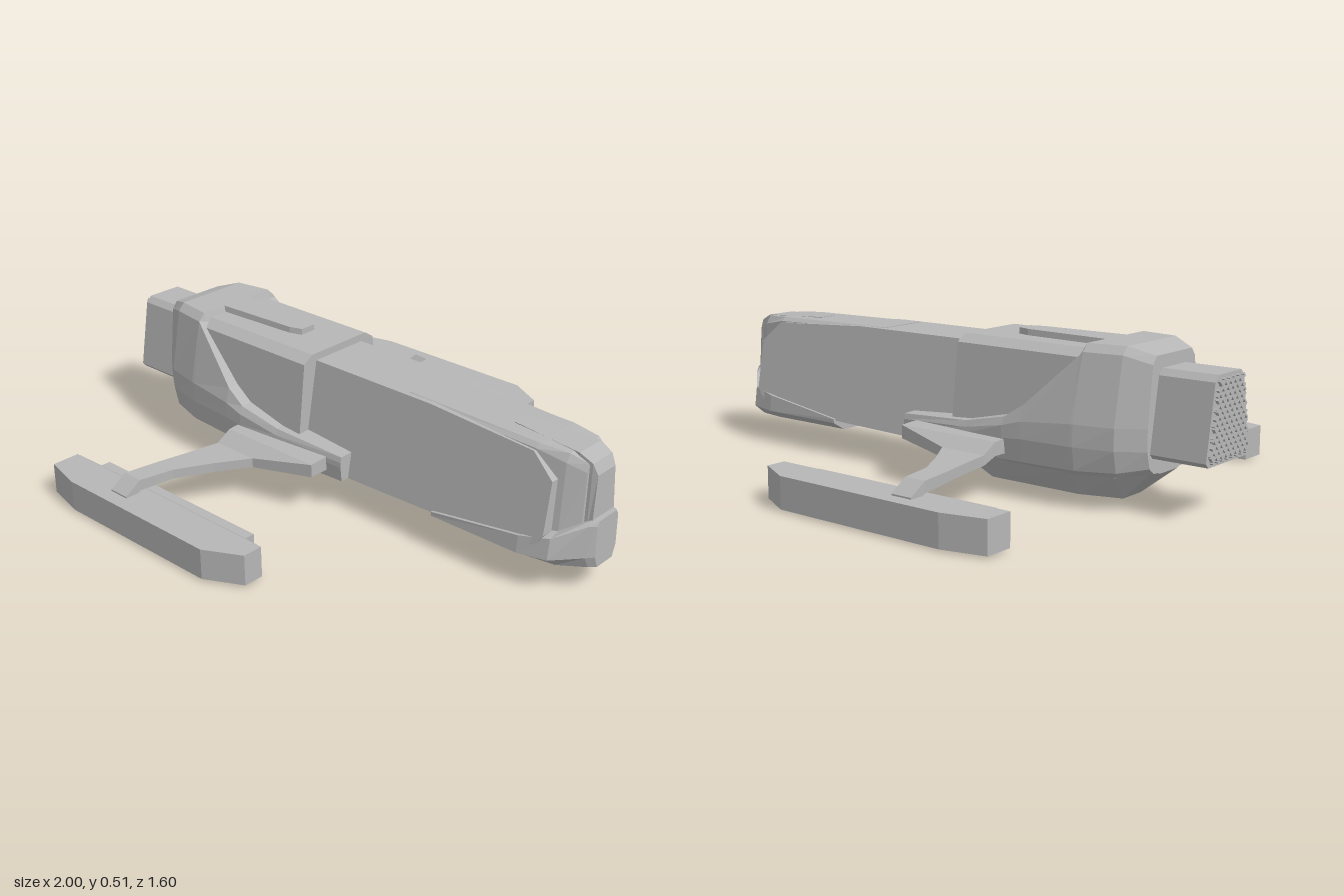
import * as THREE from 'three';

const hullGrey = new THREE.MeshStandardMaterial({ color: 0xb6b6b6, flatShading: true });
hullGrey.name = 'hullGrey';

// Skin a closed solid through rings of [x, y, z] points, faces turned outward
function loft(name, rings) {
  const tris = [];
  const n = rings[0].length;
  for (let i = 0; i < rings.length - 1; i++) {
    for (let j = 0; j < n; j++) {
      const k = (j + 1) % n;
      const a = rings[i][j], b = rings[i][k], c = rings[i + 1][k], d = rings[i + 1][j];
      tris.push([a, b, c], [a, c, d]);
    }
  }
  const first = rings[0], last = rings[rings.length - 1];
  for (let j = 1; j < n - 1; j++) {
    tris.push([first[0], first[j + 1], first[j]], [last[0], last[j], last[j + 1]]);
  }
  let volume = 0;
  for (const [a, b, c] of tris) {
    volume += a[0] * (b[1] * c[2] - b[2] * c[1]) + a[1] * (b[2] * c[0] - b[0] * c[2]) + a[2] * (b[0] * c[1] - b[1] * c[0]);
  }
  if (volume < 0) tris.forEach((t) => t.reverse());
  const geometry = new THREE.BufferGeometry();
  geometry.setAttribute('position', new THREE.Float32BufferAttribute(tris.flat(2), 3));
  geometry.computeVertexNormals();
  return part(name, geometry);
}

function part(name, geometry) {
  const mesh = new THREE.Mesh(geometry, hullGrey);
  mesh.name = name;
  return mesh;
}

// Symmetric section across the hull: half profile of [z, y], bottom to top
const section = (x, half) => [
  ...half.map(([z, y]) => [x, y, z]),
  ...half.slice().reverse().map(([z, y]) => [x, y, -z]),
];
const hullLoft = (name, list) => loft(name, list.map(([x, ...half]) => section(x, half)));

// Forward fuselage: side outline drawn across and narrowed toward the roof
function fuselage() {
  const outline = [[-0.3, 0.12], [0.15, 0.12], [0.78, 0.135], [0.86, 0.17], [0.88, 0.2],
    [0.88, 0.37], [0.8, 0.44], [0.4, 0.463], [-0.3, 0.465]];
  const shape = new THREE.Shape(outline.map(([x, y]) => new THREE.Vector2(x, y)));
  const geometry = new THREE.ExtrudeGeometry(shape, { depth: 2, bevelEnabled: false });
  const p = geometry.attributes.position;
  for (let i = 0; i < p.count; i++) {
    p.setZ(i, (p.getZ(i) - 1) * (0.11 + (0.465 - p.getY(i)) * 0.185));
  }
  geometry.computeVertexNormals();
  return part('fuselageSides', geometry);
}

// Crossed bars over the tail opening, clipped to its tapered outline
function tailGrille() {
  const grille = new THREE.Group();
  grille.name = 'tailGrille';
  const inside = (z, y) => y > 0.185 && y < 0.435 && Math.abs(z) < 0.12 - (y - 0.175) * 0.18;
  for (const dir of [-1, 1]) {
    for (let i = -8; i <= 8; i++) {
      const hits = [];
      for (let t = -0.3; t <= 0.3; t += 0.004) {
        const z = t * 0.64 + i * 0.028, y = 0.31 + dir * t * 0.77;
        if (inside(z, y)) hits.push([z, y]);
      }
      if (hits.length < 4) continue;
      const [z0, y0] = hits[0], [z1, y1] = hits[hits.length - 1];
      const bar = part('grilleBar', new THREE.BoxGeometry(0.01, 0.007, Math.hypot(z1 - z0, y1 - y0)));
      bar.position.set(-0.995, (y0 + y1) / 2, (z0 + z1) / 2);
      bar.rotation.x = -Math.atan2(y1 - y0, z1 - z0);
      grille.add(bar);
    }
  }
  return grille;
}

// Swept arm and outrigger pod for one side
function outrigger(side) {
  const group = new THREE.Group();
  group.name = side > 0 ? 'leftOutrigger' : 'rightOutrigger';
  // arm: [z, rear x, front x, bottom y, top y]
  const arm = [[0.2, -0.34, 0.05, 0.145, 0.195], [0.285, -0.34, 0.05, 0.145, 0.19],
    [0.34, -0.34, -0.17, 0.125, 0.158], [0.45, -0.36, -0.24, 0.125, 0.158],
    [0.57, -0.385, -0.305, 0.125, 0.158], [0.69, -0.405, -0.33, 0.12, 0.158],
    [0.75, -0.405, -0.33, 0.09, 0.12]];
  // pod: sections of the same kind, running outward
  const pod = [[0.645, -0.6, 0.11, 0.025, 0.1], [0.665, -0.695, 0.205, 0.01, 0.115],
    [0.735, -0.695, 0.205, 0.01, 0.115], [0.765, -0.695, 0.147, 0.01, 0.115],
    [0.8, -0.55, 0.08, 0.01, 0.115]];
  const rail = [[0.605, -0.6, 0.11, 0.032, 0.095], [0.66, -0.6, 0.11, 0.032, 0.095]];
  for (const [name, rows] of [['arm', arm], ['pod', pod], ['podRail', rail]]) {
    group.add(loft(name, rows.map(([z, x0, x1, y0, y1]) =>
      [[x0, y0, z * side], [x1, y0, z * side], [x1, y1, z * side], [x0, y1, z * side]])));
  }
  return group;
}

export function createModel() {
  const ship = new THREE.Group();
  ship.name = 'spaceship';

  ship.add(fuselage());

  // Nose core tapering ahead of the side panels
  ship.add(hullLoft('noseCore', [
    [0.3, [0.14, 0.13], [0.13, 0.2], [0.1, 0.455], [0.09, 0.466]],
    [0.8, [0.15, 0.13], [0.135, 0.2], [0.105, 0.445], [0.09, 0.458]],
    [0.9, [0.13, 0.13], [0.11, 0.2], [0.09, 0.425], [0.075, 0.452]],
    [0.955, [0.075, 0.13], [0.07, 0.2], [0.06, 0.4], [0.05, 0.425]],
  ]));
  ship.add(hullLoft('noseColumn', [
    [0.67, [0.04, 0.2], [0.035, 0.463]],
    [0.92, [0.062, 0.2], [0.055, 0.453]],
    [0.965, [0.06, 0.2], [0.05, 0.43]],
    [0.982, [0.06, 0.2], [0.045, 0.395]],
  ]));

  // Chin plate under the nose
  ship.add(hullLoft('chin', [
    [0.47, [0.13, 0.09], [0.18, 0.12], [0.18, 0.134], [0.1, 0.134]],
    [0.8, [0.13, 0.09], [0.178, 0.12], [0.172, 0.178], [0.1, 0.185]],
    [0.9, [0.115, 0.09], [0.16, 0.125], [0.15, 0.195], [0.09, 0.21]],
    [0.98, [0.06, 0.09], [0.08, 0.13], [0.075, 0.235], [0.055, 0.25]],
    [1.0, [0.04, 0.09], [0.055, 0.13], [0.055, 0.235], [0.045, 0.25]],
  ]));

  // Roofed housing amidships
  const housing = [[0.18, 0.12], [0.198, 0.2], [0.168, 0.465], [0.13, 0.49]];
  ship.add(hullLoft('midHousing', [[-0.65, ...housing], [-0.09, ...housing]]));

  // Rear cowl: full height at the stern, sweeping down into low side skirts
  ship.add(hullLoft('rearCowl', [
    [-0.8, [0.1, 0.125], [0.125, 0.145], [0.14, 0.2], [0.14, 0.27], [0.12, 0.46], [0.1, 0.485]],
    [-0.72, [0.17, 0.115], [0.185, 0.13], [0.2, 0.2], [0.2, 0.27], [0.16, 0.485], [0.135, 0.51]],
    [-0.59, [0.2, 0.11], [0.22, 0.125], [0.23, 0.2], [0.228, 0.27], [0.18, 0.485], [0.155, 0.51]],
    [-0.58, [0.2, 0.11], [0.22, 0.125], [0.231, 0.2], [0.229, 0.27], [0.182, 0.475], [0.15, 0.48]],
    [-0.4, [0.2, 0.11], [0.232, 0.125], [0.243, 0.2], [0.241, 0.255], [0.225, 0.305], [0.17, 0.31]],
    [-0.33, [0.2, 0.11], [0.235, 0.125], [0.245, 0.195], [0.244, 0.235], [0.23, 0.26], [0.17, 0.265]],
    [-0.17, [0.19, 0.115], [0.228, 0.125], [0.235, 0.185], [0.232, 0.205], [0.222, 0.225], [0.16, 0.23]],
    [0.11, [0.16, 0.12], [0.205, 0.12], [0.21, 0.17], [0.21, 0.19], [0.205, 0.208], [0.15, 0.21]],
  ]));

  // Roof tongue reaching forward from the cowl
  ship.add(hullLoft('roofTongue', [
    [-0.62, [0.065, 0.48], [0.06, 0.51]],
    [-0.28, [0.047, 0.48], [0.043, 0.51]],
    [-0.235, [0.033, 0.48], [0.028, 0.51]],
  ]));

  // Faceted belly keel
  ship.add(hullLoft('bellyKeel', [
    [-0.79, [0.05, 0.115], [0.09, 0.13], [0.09, 0.16]],
    [-0.66, [0.05, 0.015], [0.11, 0.09], [0.14, 0.13]],
    [-0.5, [0.06, 0.004], [0.125, 0.09], [0.15, 0.13]],
    [-0.15, [0.06, 0.004], [0.12, 0.09], [0.15, 0.13]],
    [0.1, [0.03, 0.1], [0.06, 0.12], [0.08, 0.14]],
  ]));

  // Tail exhaust box and its grille
  const tail = [[0.11, 0.175], [0.125, 0.19], [0.085, 0.425], [0.065, 0.445]];
  ship.add(hullLoft('tailBox', [[-0.99, ...tail], [-0.75, ...tail]]), tailGrille());

  ship.add(outrigger(1), outrigger(-1));
  return ship;
}
